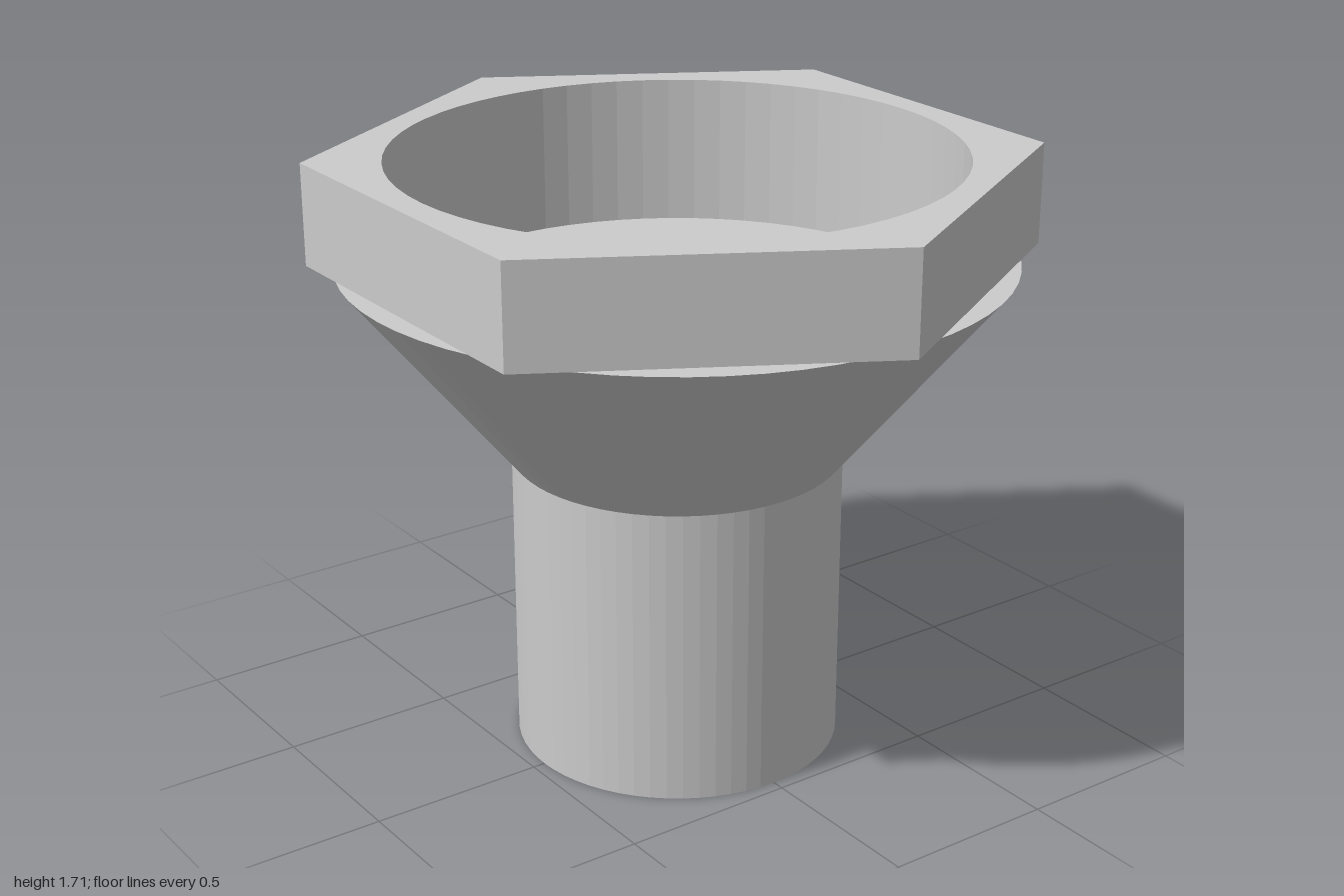
import * as THREE from 'three';

const SEGMENTS = 64;
const BORE = 0.143, SHANK = 0.464, FLANGE = 0.929, RECESS = 0.786;
const Y_CONE = 0.857, Y_FLOOR = 1.286, Y_HEX = 1.429, Y_TOP = 1.714;

export function createModel() {
  const group = new THREE.Group();
  const material = new THREE.MeshStandardMaterial({ color: 0xcccccc, flatShading: true });

  const add = (name, geometry) => {
    const mesh = new THREE.Mesh(geometry, material);
    mesh.name = name;
    group.add(mesh);
    return mesh;
  };

  // Shank, flared cone, recess floor and through bore as one closed profile
  const profile = [
    [BORE, 0], [SHANK, 0], [SHANK, Y_CONE], [FLANGE, Y_HEX],
    [RECESS, Y_HEX], [RECESS, Y_FLOOR], [BORE, Y_FLOOR], [BORE, 0],
  ].map(([r, y]) => new THREE.Vector2(r, y));
  add('flaredBody', new THREE.LatheGeometry(profile, SEGMENTS));

  // Hexagonal collar with corners on the x axis and a round opening
  const hexagon = new THREE.Shape(Array.from({ length: 6 }, (_, i) => {
    const a = i * Math.PI / 3;
    return new THREE.Vector2(Math.cos(a), Math.sin(a));
  }));
  hexagon.holes.push(new THREE.Path().absarc(0, 0, RECESS, 0, Math.PI * 2, true));
  const collar = new THREE.ExtrudeGeometry(hexagon, {
    depth: Y_TOP - Y_HEX, bevelEnabled: false, curveSegments: SEGMENTS / 2,
  });
  collar.rotateX(-Math.PI / 2);
  add('hexCollar', collar).position.y = Y_HEX;

  return group;
}
